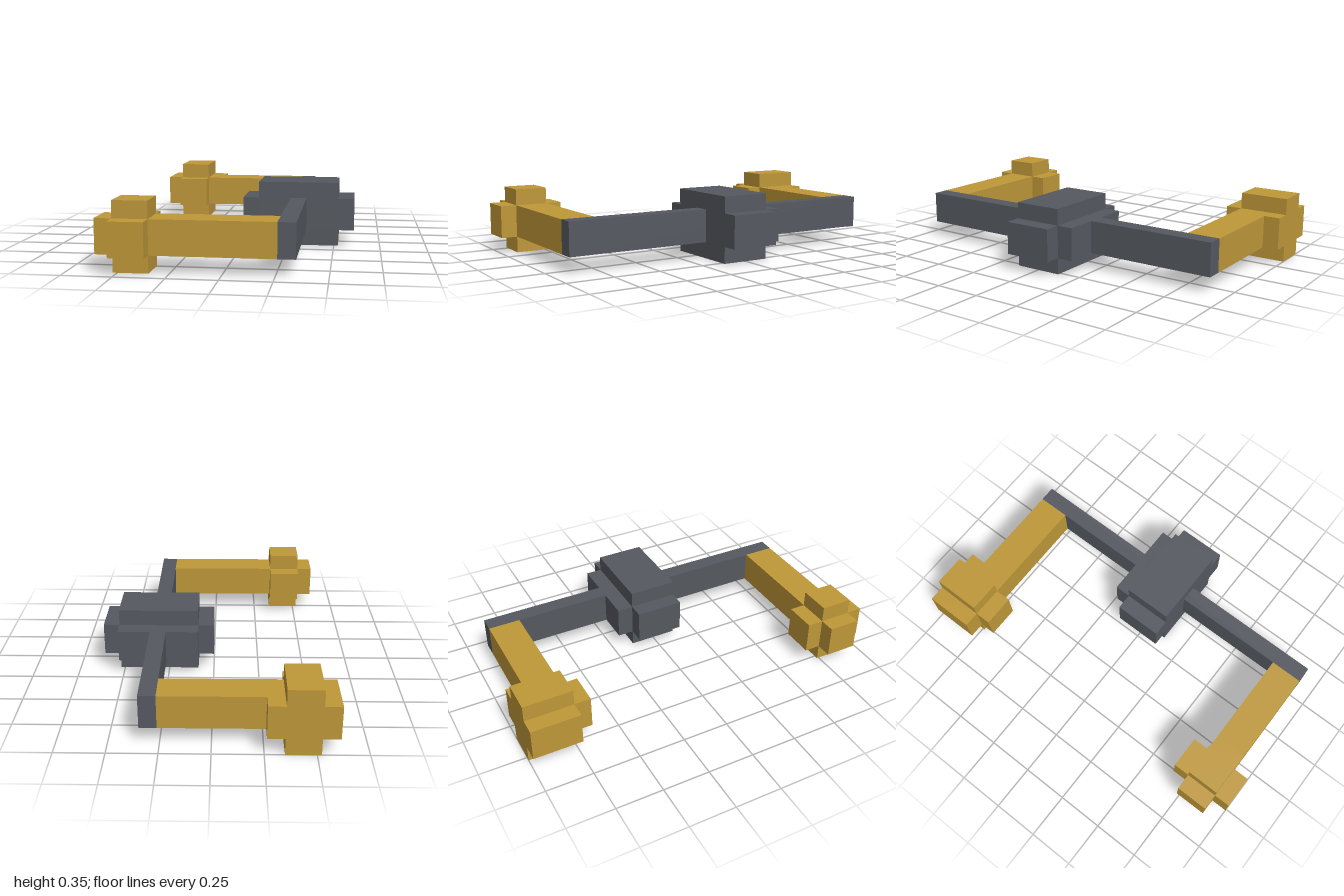
import * as THREE from 'three';

const U = 2 / 23; // one grid cell

export function createModel() {
  const model = new THREE.Group();
  const gold = new THREE.MeshStandardMaterial({ color: 0xbe9738 });
  gold.name = 'gold';
  const grey = new THREE.MeshStandardMaterial({ color: 0x555960 });
  grey.name = 'slate grey';

  // Box from min and max corners, in cells
  function box(parent, name, material, x, y, z) {
    const geometry = new THREE.BoxGeometry((x[1] - x[0]) * U, (y[1] - y[0]) * U, (z[1] - z[0]) * U);
    const mesh = new THREE.Mesh(geometry, material);
    mesh.position.set((x[0] + x[1]) / 2 * U, (y[0] + y[1]) / 2 * U, (z[0] + z[1]) / 2 * U);
    mesh.name = name;
    parent.add(mesh);
  }

  // Plus-shaped block: full height in the middle, lower shoulders, extruded along z
  function plus(parent, name, material, x, z) {
    const [a, b] = x;
    const points = [
      [a, 1], [a + 1, 1], [a + 1, 0], [b - 1, 0], [b - 1, 1], [b, 1],
      [b, 3], [b - 1, 3], [b - 1, 4], [a + 1, 4], [a + 1, 3], [a, 3],
    ].map(([px, py]) => new THREE.Vector2(px * U, py * U));
    const geometry = new THREE.ExtrudeGeometry(new THREE.Shape(points), {
      depth: (z[1] - z[0]) * U, bevelEnabled: false,
    });
    const mesh = new THREE.Mesh(geometry, material);
    mesh.position.z = z[0] * U;
    mesh.name = name;
    parent.add(mesh);
  }

  // Crossbar and central hub
  const hub = new THREE.Group();
  hub.name = 'hub';
  box(hub, 'crossbar', grey, [3, 4], [1, 3], [-10.5, 10.5]);
  plus(hub, 'hubBlock', grey, [0, 7], [-1.5, 1.5]);
  box(hub, 'hubBack', grey, [1, 6], [1, 3], [-2.5, -1.5]);
  model.add(hub);

  // Front arm with its knob
  const front = new THREE.Group();
  front.name = 'frontArm';
  box(front, 'arm', gold, [-3, 3], [1, 3], [8.5, 10.5]);
  plus(front, 'knob', gold, [-7, -3], [8.5, 10.5]);
  box(front, 'knobOuterNub', gold, [-6, -4], [1, 3], [10.5, 11.5]);
  box(front, 'knobInnerNub', gold, [-6, -4], [1, 3], [7.5, 8.5]);
  model.add(front);

  // Back arm with its deeper knob
  const back = new THREE.Group();
  back.name = 'backArm';
  box(back, 'arm', gold, [-3, 3], [1, 3], [-10.5, -8.5]);
  plus(back, 'knob', gold, [-7, -3], [-11.5, -8.5]);
  box(back, 'knobInnerNub', gold, [-6, -4], [1, 3], [-8.5, -7.5]);
  model.add(back);

  return model;
}
